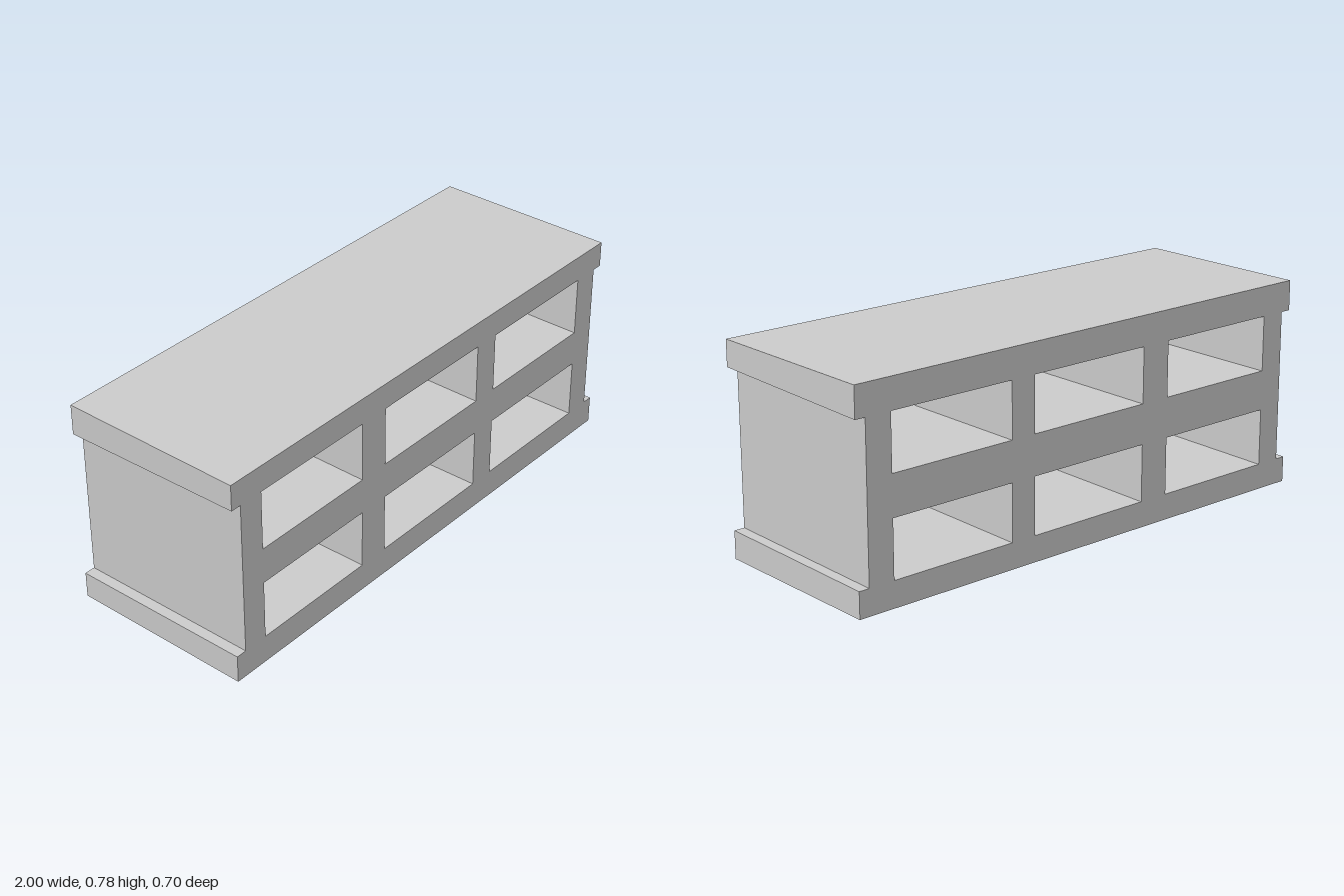
import * as THREE from 'three';

const DEPTH = 0.7;
const BASE_TOP = 0.104, SHELF_BOTTOM = 0.325, SHELF_TOP = 0.46, LID_BOTTOM = 0.683;

export function createModel() {
  const group = new THREE.Group();
  group.name = 'openCubbyShelf';

  // I-shaped front outline: overhanging base and lid, inset side walls
  const half = [[1, 0], [1, BASE_TOP], [0.96, BASE_TOP], [0.96, LID_BOTTOM], [1, LID_BOTTOM], [1, 0.78]];
  const mirrored = half.map(([x, y]) => [-x, y]).reverse();
  const outline = new THREE.Shape([...half, ...mirrored].map(([x, y]) => new THREE.Vector2(x, y)));

  // Two rows of three compartments, open front to back
  for (const [x0, x1] of [[-0.864, -0.37], [-0.25, 0.255], [0.356, 0.859]]) {
    for (const [y0, y1] of [[BASE_TOP, SHELF_BOTTOM], [SHELF_TOP, LID_BOTTOM]]) {
      outline.holes.push(new THREE.Path(
        [[x0, y0], [x0, y1], [x1, y1], [x1, y0]].map(([x, y]) => new THREE.Vector2(x, y))));
    }
  }

  const geometry = new THREE.ExtrudeGeometry(outline, { depth: DEPTH, bevelEnabled: false });
  geometry.translate(0, 0, -DEPTH / 2);

  // The base top and the undersides of shelf and lid slope down slightly to the back
  const drops = [[BASE_TOP, 0.007], [SHELF_BOTTOM, 0.015], [LID_BOTTOM, 0.016]];
  const pos = geometry.attributes.position;
  for (let i = 0; i < pos.count; i++) {
    if (pos.getZ(i) > 0) continue;
    const drop = drops.find(([y]) => Math.abs(pos.getY(i) - y) < 0.001);
    if (drop) pos.setY(i, drop[0] - drop[1]);
  }
  geometry.computeVertexNormals();

  const body = new THREE.Mesh(geometry, new THREE.MeshStandardMaterial({ color: 0xcccccc, flatShading: true }));
  body.name = 'shelfBody';
  group.add(body);
  return group;
}
